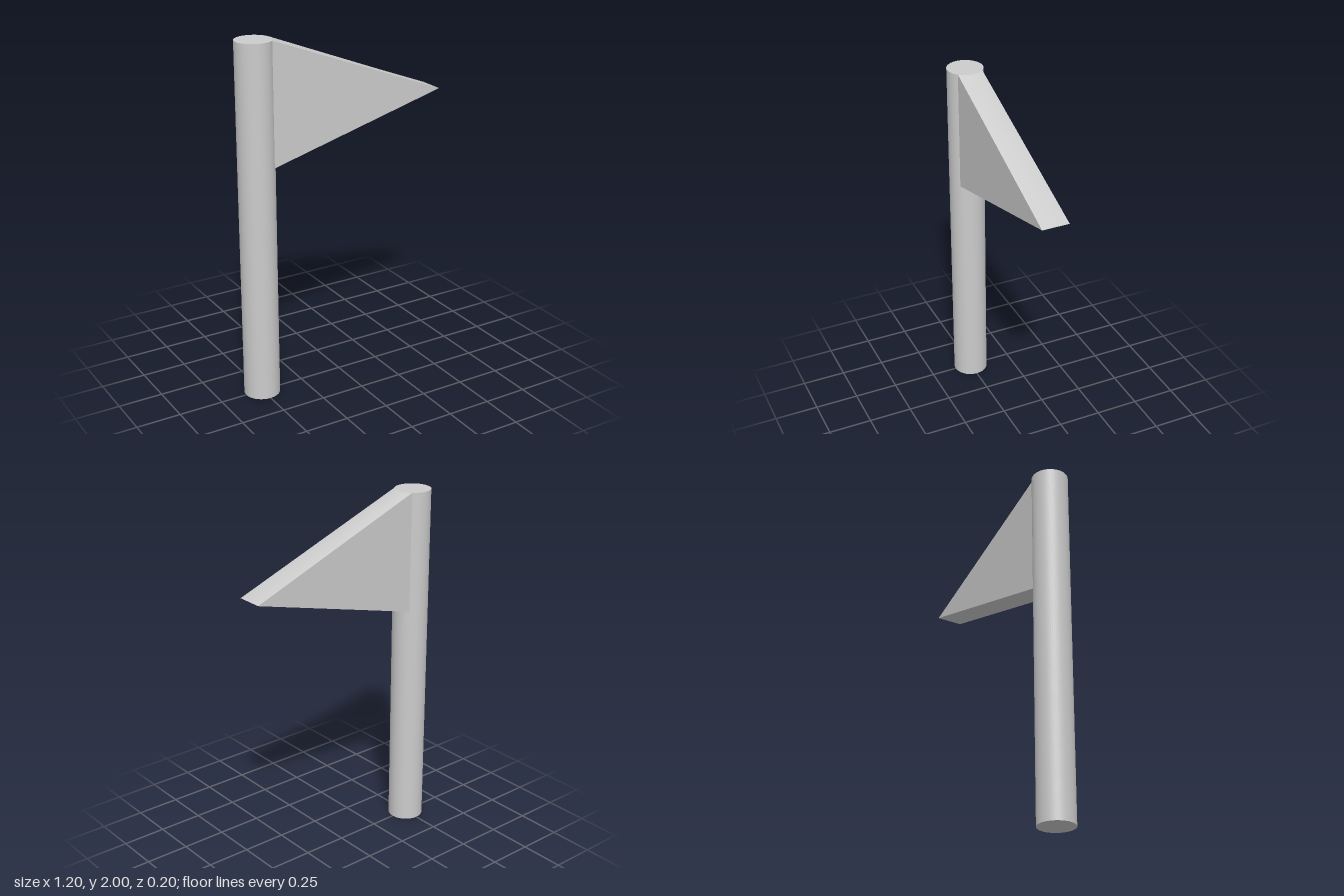
import * as THREE from 'three';

const POLE_X = -0.5, POLE_R = 0.1, HEIGHT = 2;
const FLAG_BOTTOM = 1.325, TIP_X = 0.6, TIP_Y = 1.605, TIP_HALF = 0.075;
const STEPS = 16;

// Solid pennant: its root follows a quarter of the pole's round, its end is a straight edge
function pennantGeometry() {
  const positions = [], index = [];
  const add = (...p) => positions.push(...p) / 3 - 1;
  const root = (t, y) => {
    const a = (t - 0.5) * Math.PI / 2;
    return [POLE_X + POLE_R * Math.cos(a), y, POLE_R * Math.sin(a)];
  };
  const tip = (t) => [TIP_X, TIP_Y, (t * 2 - 1) * TIP_HALF];

  // Upper and lower ruled faces
  for (const [y, up] of [[HEIGHT, true], [FLAG_BOTTOM, false]]) {
    const start = positions.length / 3;
    for (let i = 0; i <= STEPS; i++) {
      add(...root(i / STEPS, y));
      add(...tip(i / STEPS));
    }
    for (let i = 0; i < STEPS; i++) {
      const a = start + i * 2, b = a + 1, c = a + 2, d = a + 3;
      index.push(...(up ? [a, c, d, a, d, b] : [a, d, c, a, b, d]));
    }
  }

  // Triangular front and back faces
  for (const t of [1, 0]) {
    const top = add(...root(t, HEIGHT));
    const bottom = add(...root(t, FLAG_BOTTOM));
    const end = add(...tip(t));
    index.push(...(t ? [top, bottom, end] : [bottom, top, end]));
  }

  const geometry = new THREE.BufferGeometry();
  geometry.setAttribute('position', new THREE.Float32BufferAttribute(positions, 3));
  geometry.setIndex(index);
  geometry.computeVertexNormals();
  return geometry;
}

export function createModel() {
  const group = new THREE.Group();
  group.name = 'flagOnPole';
  const material = new THREE.MeshStandardMaterial({ color: 0xcccccc });

  // Round pole
  const pole = new THREE.Mesh(new THREE.CylinderGeometry(POLE_R, POLE_R, HEIGHT, 64), material);
  pole.name = 'pole';
  pole.position.set(POLE_X, HEIGHT / 2, 0);

  // Pennant
  const pennant = new THREE.Mesh(pennantGeometry(), material);
  pennant.name = 'pennant';

  group.add(pole, pennant);
  return group;
}
